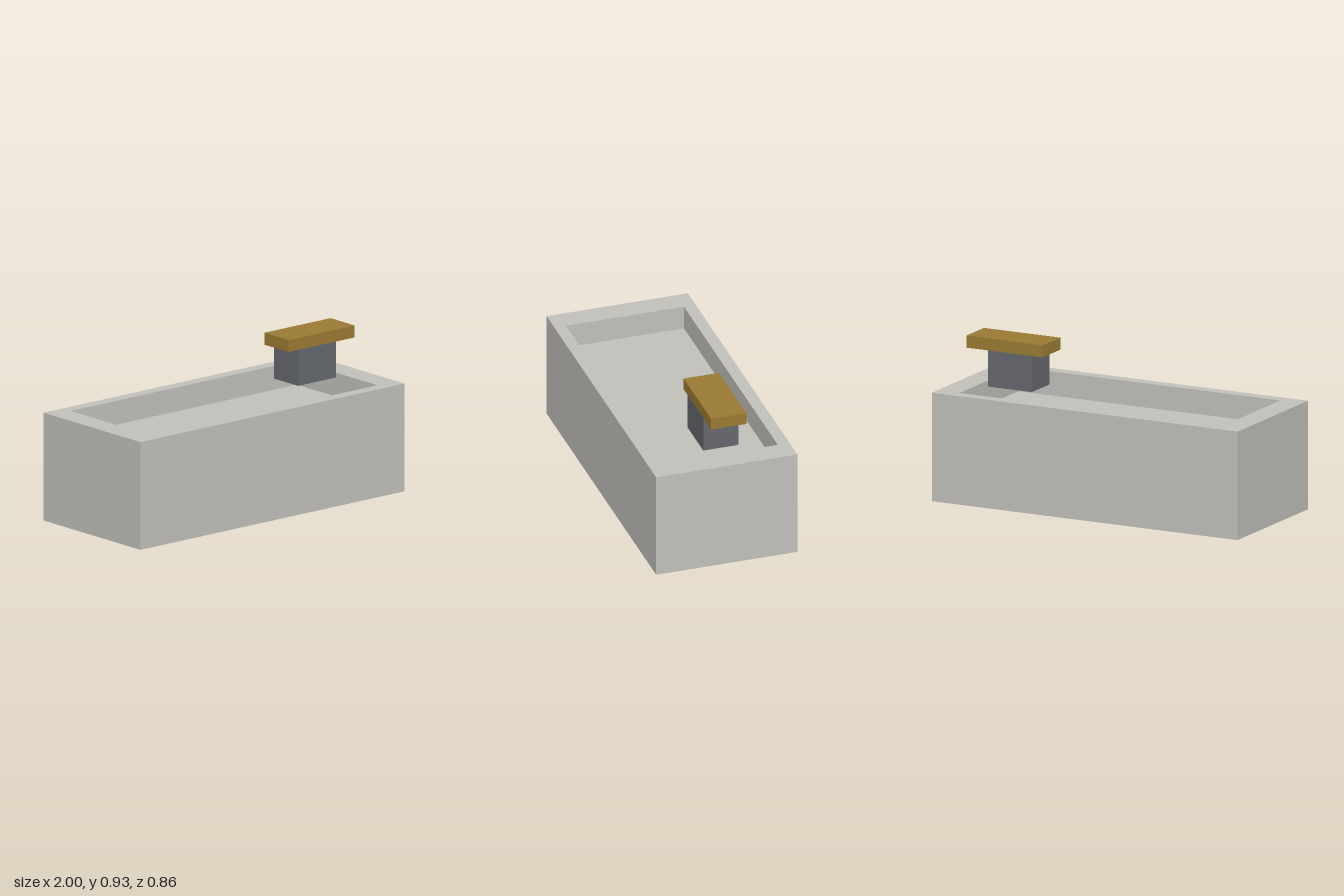
import * as THREE from 'three';

// All sizes are whole multiples of one unit
const U = 1 / 14;

const stone = new THREE.MeshStandardMaterial({ name: 'paleStone', color: 0xc1c0bb, side: THREE.DoubleSide });
const steel = new THREE.MeshStandardMaterial({ name: 'darkSteel', color: 0x65686e });
const brass = new THREE.MeshStandardMaterial({ name: 'brass', color: 0x9a7b33 });
const water = new THREE.MeshStandardMaterial({ name: 'waterBlue', color: 0x3a7ca5, side: THREE.DoubleSide });

function addMesh(parent, name, geometry, material) {
  const mesh = new THREE.Mesh(geometry, material);
  mesh.name = name;
  parent.add(mesh);
  return mesh;
}

// Box given by its low and high corners in units
function block(parent, name, material, lo, hi) {
  const size = hi.map((h, i) => (h - lo[i]) * U);
  const mesh = addMesh(parent, name, new THREE.BoxGeometry(...size), material);
  mesh.position.set(...hi.map((h, i) => ((h + lo[i]) / 2) * U));
}

// Horizontal sheet centred on the origin
function sheet(parent, name, material, width, depth, y) {
  const geometry = new THREE.PlaneGeometry(width * U, depth * U).rotateX(-Math.PI / 2);
  addMesh(parent, name, geometry, material).position.y = y * U;
}

function rectangle(path, width, depth) {
  const x = (width / 2) * U, z = (depth / 2) * U;
  path.moveTo(-x, -z).lineTo(x, -z).lineTo(x, z).lineTo(-x, z).closePath();
  return path;
}

export function createModel() {
  const model = new THREE.Group();
  model.name = 'basin';

  // Thick rim around the shallow recess
  const outline = rectangle(new THREE.Shape(), 28, 12);
  outline.holes.push(rectangle(new THREE.Path(), 24, 10));
  const rim = new THREE.ExtrudeGeometry(outline, { depth: 2 * U, bevelEnabled: false }).rotateX(-Math.PI / 2);
  addMesh(model, 'rim', rim, stone).position.y = 7 * U;
  sheet(model, 'recessFloor', stone, 24, 10, 7);

  // Thin walls below the rim, open underneath
  const walls = new THREE.Group();
  walls.name = 'walls';
  model.add(walls);
  for (let i = 0; i < 4; i++) {
    const [width, offset] = i % 2 ? [12, 14] : [28, 6];
    const geometry = new THREE.PlaneGeometry(width * U, 7 * U)
      .translate(0, 3.5 * U, offset * U)
      .rotateY((i * Math.PI) / 2);
    addMesh(walls, 'wall', geometry, stone);
  }

  // Sheet inside the hollow base
  sheet(model, 'waterSheet', water, 24, 10, 1);

  // Tap on the left
  const tap = new THREE.Group();
  tap.name = 'tap';
  model.add(tap);
  block(tap, 'tapPost', steel, [7, 9, -2], [11, 12, 1]);
  block(tap, 'tapHandle', brass, [6, 12, -2], [13, 13, 1]);

  return model;
}
